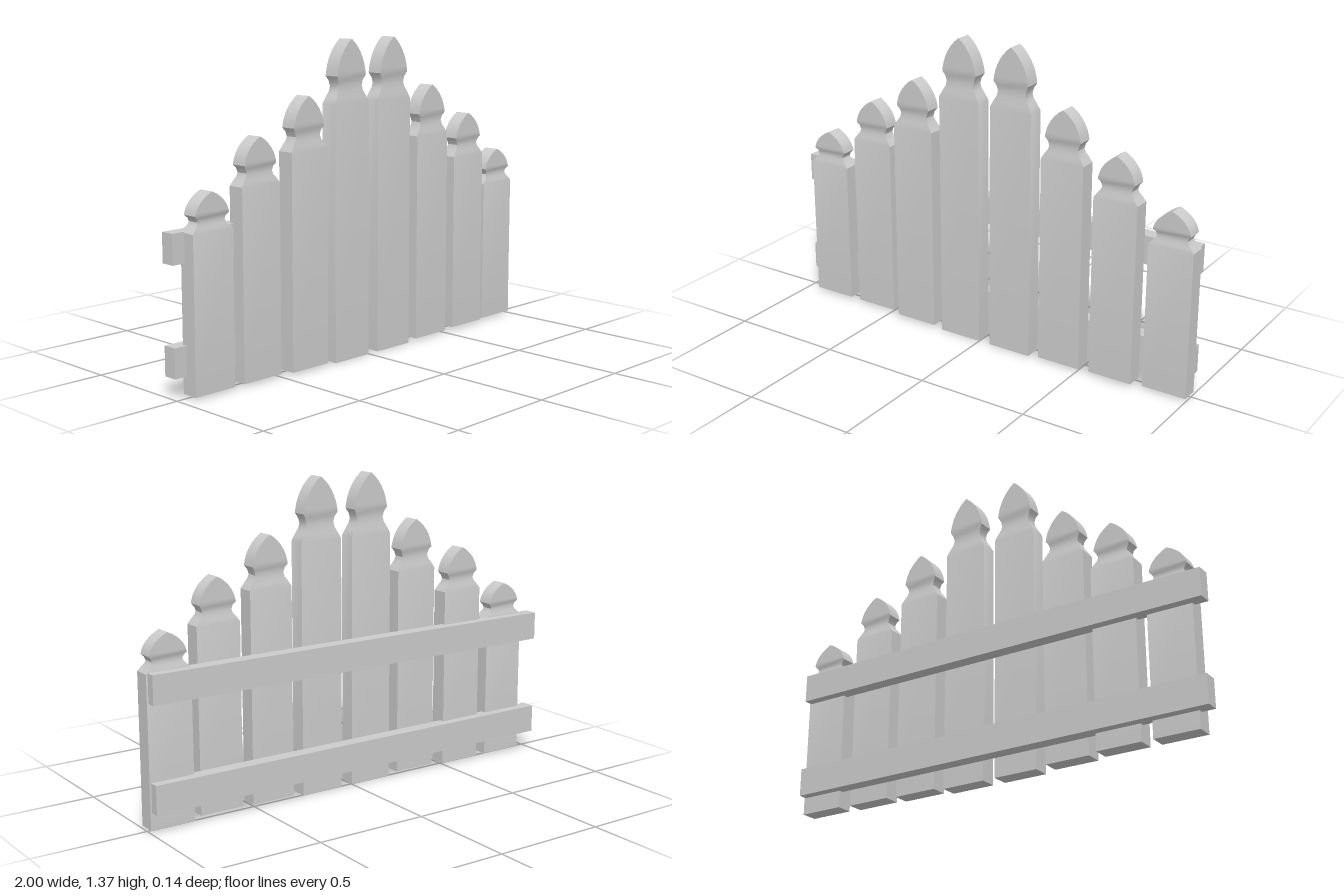
import * as THREE from 'three';
import { toCreasedNormals } from 'three/addons/utils/BufferGeometryUtils.js';

// Picket cross-sections: [fraction of height, half width, half depth]
const SECTIONS = [
  [0, 0.1, 0.0375], [0.805, 0.1, 0.0375], [0.825, 0.086, 0.033], [0.842, 0.072, 0.029],
  [0.857, 0.067, 0.027], [0.874, 0.073, 0.028], [0.889, 0.084, 0.035], [0.905, 0.0805, 0.035],
  [0.922, 0.075, 0.035], [0.94, 0.066, 0.035], [0.957, 0.054, 0.035], [0.973, 0.039, 0.035],
  [0.988, 0.021, 0.035], [1, 0.001, 0.035],
];

// Rectangular loft through the sections, closed at both ends
function picketGeometry(height) {
  const pos = [];
  const ring = ([t, w, d]) => [[-w, d], [w, d], [w, -d], [-w, -d]].map(([x, z]) => [x, t * height, z]);
  const quad = (a, b, c, d) => pos.push(...a, ...b, ...c, ...a, ...c, ...d);
  const rings = SECTIONS.map(ring);
  for (let i = 0; i < rings.length - 1; i++) {
    const lo = rings[i], hi = rings[i + 1];
    for (let k = 0; k < 4; k++) {
      const n = (k + 1) % 4;
      quad(lo[k], lo[n], hi[n], hi[k]);
    }
  }
  const base = rings[0], tip = rings[rings.length - 1];
  quad(base[3], base[2], base[1], base[0]);
  quad(tip[0], tip[1], tip[2], tip[3]);
  const geometry = new THREE.BufferGeometry();
  geometry.setAttribute('position', new THREE.Float32BufferAttribute(pos, 3));
  return toCreasedNormals(geometry, 0.55);
}

export function createModel() {
  const model = new THREE.Group();
  model.name = 'picketFence';
  const material = new THREE.MeshStandardMaterial({ color: 0xcccccc });

  // Pickets: [centre x, bottom y, top y, centre z]
  const pickets = [
    [-0.842, 0.01, 0.81, 0.008], [-0.592, 0.01, 1.0, 0.008],
    [-0.347, 0.01, 1.145, 0.031], [-0.102, 0, 1.365, 0.032],
    [0.155, 0, 1.365, 0.032], [0.405, 0.01, 1.145, 0.032],
    [0.655, 0.015, 1.0, 0.032], [0.897, 0.01, 0.81, 0.008],
  ];
  pickets.forEach(([x, bottom, top, z], i) => {
    const picket = new THREE.Mesh(picketGeometry(top - bottom), material);
    picket.name = `picket${i + 1}`;
    picket.position.set(x, bottom, z);
    model.add(picket);
  });

  // Two horizontal rails behind the pickets
  for (const [name, y] of [['lowerRail', 0.147], ['upperRail', 0.597]]) {
    const rail = new THREE.Mesh(new THREE.BoxGeometry(1.99, 0.124, 0.062), material);
    rail.name = name;
    rail.position.set(-0.005, y, -0.039);
    model.add(rail);
  }
  return model;
}
